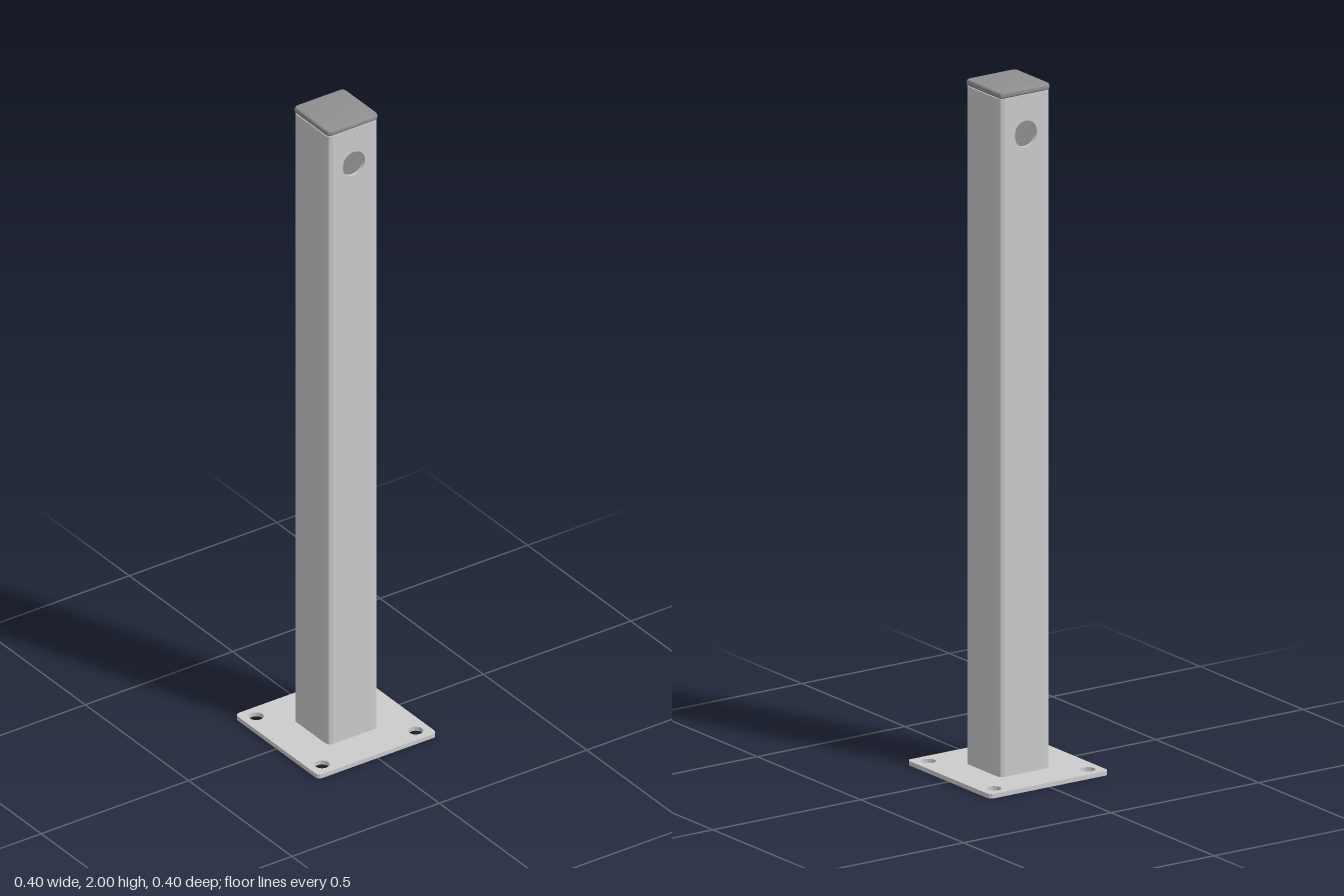
import * as THREE from 'three';
import { toCreasedNormals } from 'three/addons/utils/BufferGeometryUtils.js';

const PLATE_T = 0.013, TUBE_TOP = 1.981;
const HALF = 0.086, R = 0.017, WALL = 0.01;
const grey = new THREE.MeshStandardMaterial({ color: 0xcccccc });
const dark = new THREE.MeshStandardMaterial({ color: 0x909090 });

function roundedSquare(h, r) {
  const s = new THREE.Shape(), c = h - r;
  s.absarc(c, c, r, 0, Math.PI / 2);
  s.absarc(-c, c, r, Math.PI / 2, Math.PI);
  s.absarc(-c, -c, r, Math.PI, Math.PI * 1.5);
  s.absarc(c, -c, r, Math.PI * 1.5, Math.PI * 2);
  s.closePath();
  return s;
}

function addHole(shape, x, y, r) {
  shape.holes.push(new THREE.Path().absarc(x, y, r, 0, Math.PI * 2, true));
}

function extrude(shape, depth, options = {}) {
  const geo = new THREE.ExtrudeGeometry(shape, { depth, curveSegments: 16, bevelEnabled: false, ...options });
  return toCreasedNormals(geo, 0.6);
}

function addMesh(parent, name, geo, material = grey) {
  const mesh = new THREE.Mesh(geo, material);
  mesh.name = name;
  parent.add(mesh);
  return mesh;
}

export function createModel() {
  const model = new THREE.Group();
  model.name = 'bollardPost';

  // Base plate with four bolt holes
  const plate = roundedSquare(0.202, 0.015);
  for (const x of [-1, 1]) for (const y of [-1, 1]) addHole(plate, x * 0.159, y * 0.159, 0.021);
  addMesh(model, 'basePlate', extrude(plate, PLATE_T).rotateX(-Math.PI / 2));

  // Hollow square tube: two drilled walls joined by two rounded side channels
  const tube = new THREE.Group();
  tube.name = 'tube';
  model.add(tube);
  const c = HALF - R, height = TUBE_TOP - PLATE_T;

  const wall = new THREE.Shape([
    new THREE.Vector2(-c, PLATE_T), new THREE.Vector2(c, PLATE_T),
    new THREE.Vector2(c, TUBE_TOP), new THREE.Vector2(-c, TUBE_TOP)]);
  addHole(wall, 0, 1.868, 0.038);
  const wallGeo = extrude(wall, WALL).translate(0, 0, HALF - WALL);

  const channel = new THREE.Shape();
  channel.moveTo(c, -HALF);
  channel.absarc(c, -c, R, -Math.PI / 2, 0);
  channel.absarc(c, c, R, 0, Math.PI / 2);
  channel.absarc(c, c, R - WALL, Math.PI / 2, 0, true);
  channel.absarc(c, -c, R - WALL, 0, -Math.PI / 2, true);
  channel.closePath();
  const channelGeo = extrude(channel, height).rotateX(-Math.PI / 2).translate(0, PLATE_T, 0);

  addMesh(tube, 'frontWall', wallGeo);
  addMesh(tube, 'backWall', wallGeo).rotation.y = Math.PI;
  addMesh(tube, 'leftChannel', channelGeo);
  addMesh(tube, 'rightChannel', channelGeo).rotation.y = Math.PI;

  // Cap with softened edges
  const bevel = 0.007;
  const capGeo = extrude(roundedSquare(0.087 - bevel, 0.016 - bevel), 2 - TUBE_TOP - 2 * bevel,
    { bevelEnabled: true, bevelSize: bevel, bevelThickness: bevel, bevelSegments: 4 });
  addMesh(model, 'cap', capGeo.rotateX(-Math.PI / 2).translate(0, TUBE_TOP + bevel, 0), dark);

  return model;
}
